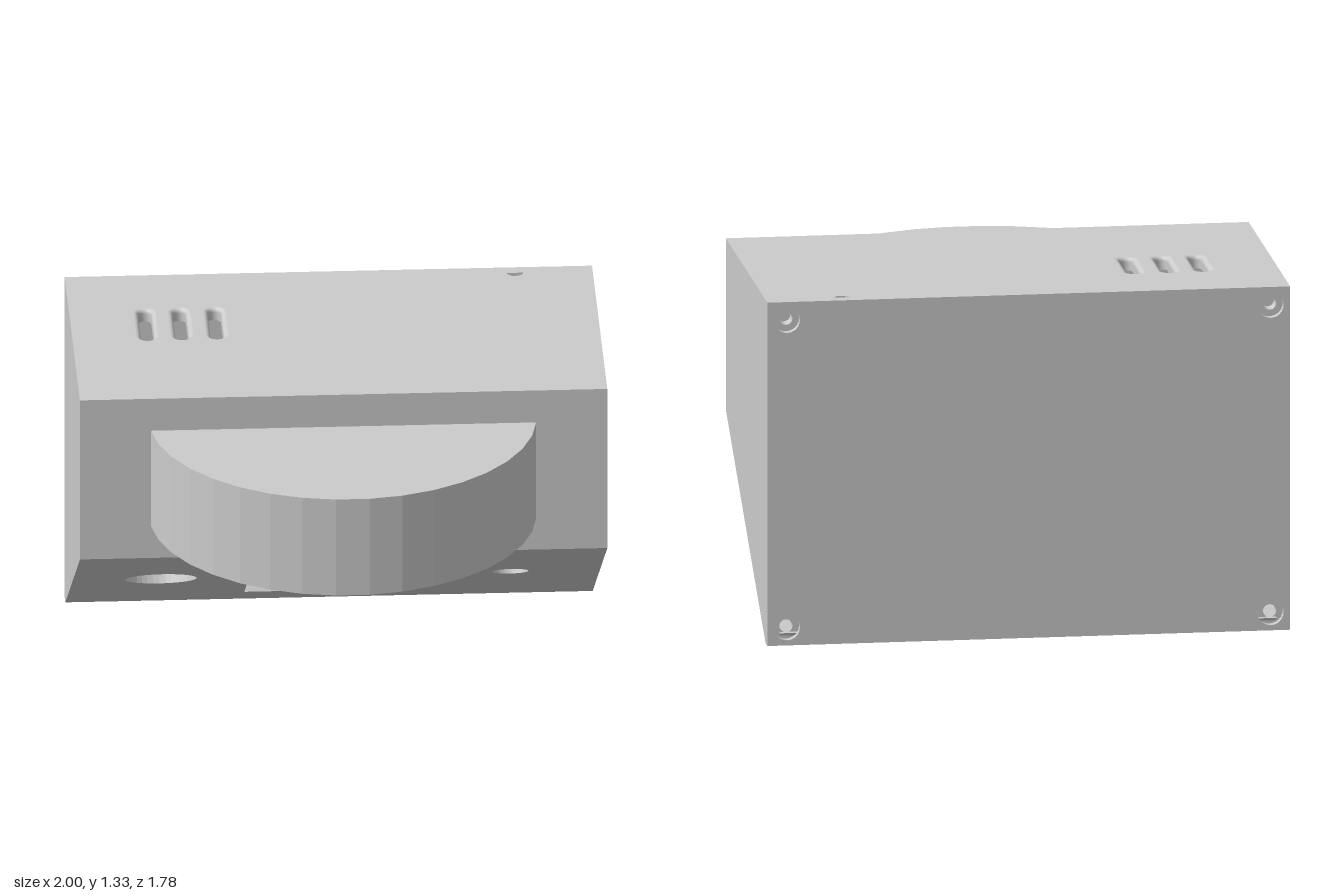
import * as THREE from 'three';

const T = 0.05;                                   // wall thickness
const W = 1, H = 1.333, BACK = -0.89, FRONT = 0.23, LIP = 0.67;
const mat = new THREE.MeshStandardMaterial({ color: 0xcccccc });
const matDouble = new THREE.MeshStandardMaterial({ color: 0xcccccc, side: THREE.DoubleSide });
const V = (x, y, z) => new THREE.Vector3(x, y, z);
const P = (x, y) => new THREE.Vector2(x, y);
const rect = (x0, y0, x1, y1) => [P(x0, y0), P(x1, y0), P(x1, y1), P(x0, y1)];

function circle(cx, cy, r, n = 36) {
  return Array.from({ length: n }, (_, i) => {
    const a = (i / n) * Math.PI * 2;
    return P(cx + r * Math.cos(a), cy + r * Math.sin(a));
  });
}

// Rounded slot outline, long in v
function stadium(cx, cy, half, r, n = 12) {
  const pts = [];
  for (const [s, start] of [[1, 0], [-1, Math.PI]]) {
    for (let i = 0; i <= n; i++) {
      const a = start + (i / n) * Math.PI;
      pts.push(P(cx + r * Math.cos(a), cy + s * half + r * Math.sin(a)));
    }
  }
  return pts;
}

// Flat panel with holes: outline lies in the u,v plane and is extruded along w
function panel(name, outline, holes, depth, u, v, w, origin) {
  const shape = new THREE.Shape(outline);
  for (const h of holes) shape.holes.push(new THREE.Path(h));
  const geo = new THREE.ExtrudeGeometry(shape, { depth, bevelEnabled: false });
  geo.applyMatrix4(new THREE.Matrix4().makeBasis(u, v, w).setPosition(origin));
  const mesh = new THREE.Mesh(geo, mat);
  mesh.name = name;
  return mesh;
}

// Rounded-over lining of a vent slot, made of stacked slot outlines
function slotLining(cx, cv, half, r, f) {
  const rings = [];
  for (let i = 0; i <= 6; i++) {
    const a = (i / 6) * Math.PI / 2;
    rings.push([r + f * (1 - Math.sin(a)), H - f * (1 - Math.cos(a))]);
  }
  rings.push([r, H - T]);
  const pos = [], idx = [];
  let n = 0;
  rings.forEach(([rad, y]) => {
    const pts = stadium(cx, cv, half, rad);
    n = pts.length;
    pts.forEach(p => pos.push(p.x, y, -p.y));
  });
  for (let k = 0; k < rings.length - 1; k++) {
    for (let i = 0; i < n; i++) {
      const a = k * n + i, b = k * n + (i + 1) % n;
      idx.push(a, b, a + n, b, b + n, a + n);
    }
  }
  const geo = new THREE.BufferGeometry();
  geo.setAttribute('position', new THREE.Float32BufferAttribute(pos, 3));
  geo.setIndex(idx);
  geo.computeVertexNormals();
  const mesh = new THREE.Mesh(geo, matDouble);
  mesh.name = 'ventSlotLining';
  return mesh;
}

export function createModel() {
  const model = new THREE.Group();
  model.name = 'wallHousing';
  const X = V(1, 0, 0), Y = V(0, 1, 0), Z = V(0, 0, 1);
  const nX = V(-1, 0, 0), nZ = V(0, 0, -1);
  const inner = W - T, seam = BACK + T;

  // Side walls with slanted lower edge
  const profile = [P(-FRONT, LIP), P(-seam, 0), P(-seam, H), P(-FRONT, H)];
  model.add(panel('leftWall', profile, [], T, nZ, Y, X, V(inner, 0, 0)));
  model.add(panel('rightWall', profile, [], T, nZ, Y, X, V(-W, 0, 0)));

  // Front wall
  model.add(panel('frontWall', rect(-inner, LIP, inner, H - T), [], T, X, Y, Z, V(0, 0, FRONT - T)));

  // Top wall with vent slots and a small indicator hole
  const slotX = [-0.714, -0.583, -0.45], slotV = 0.445, half = 0.11, r = 0.025, f = 0.018;
  const indicator = [P(0.675, 0.845), P(0.675, 0.83), P(0.692, 0.813),
    P(0.718, 0.813), P(0.735, 0.83), P(0.735, 0.845)];
  model.add(panel('topWall', rect(-inner, -FRONT, inner, 0.85),
    [...slotX.map(x => stadium(x, slotV, half, r + f)), indicator],
    T, X, nZ, Y, V(0, H - T, 0)));
  slotX.forEach(x => model.add(slotLining(x, slotV, half, r, f)));

  // Slanted underside with a window and two round openings
  const slope = V(0, LIP, FRONT - seam), len = slope.length();
  slope.normalize();
  const out = V(0, -slope.z, slope.y);
  const mid = 0.338 / slope.y;
  model.add(panel('slantedPanel', rect(-inner, 0, inner, len), [
    rect(-0.33, 0.105 / slope.y, 0.33, 0.565 / slope.y),
    circle(-0.665, mid, 0.135),
    circle(0.66, mid, 0.068),
  ], T, X, slope, out, V(0, 0, seam).addScaledVector(out, -T)));

  // Back plate with recessed screw holes in the corners
  const screws = [];
  for (const x of [-0.925, 0.925]) for (const y of [0.07, H - 0.07]) screws.push([x, y]);
  model.add(panel('backPlate', rect(-W, 0, W, H),
    screws.map(([x, y]) => circle(x, y, 0.05, 24)), T, nX, Y, nZ, V(0, 0, seam)));
  const cup = [P(0.05, 0), P(0.05, -0.03), P(0.025, -0.03), P(0.025, -0.09), P(0, -0.09)];
  for (const [x, y] of screws) {
    for (let i = 0; i < cup.length - 1; i++) {
      const part = new THREE.Mesh(new THREE.LatheGeometry([cup[i], cup[i + 1]], 24), matDouble);
      part.name = 'screwRecess';
      part.rotation.x = -Math.PI / 2;
      part.position.set(x, y, BACK);
      model.add(part);
    }
  }

  // Faceted half-round drum on the front
  const arc = [];
  for (let a = -85; a <= 85; a += 10) {
    const t = THREE.MathUtils.degToRad(a);
    arc.push(P(0.734 * Math.sin(t), -(0.158 + 0.734 * Math.cos(t))));
  }
  model.add(panel('frontDrum', arc, [], 0.4, X, nZ, Y, V(0, 0.8, 0)));

  return model;
}
